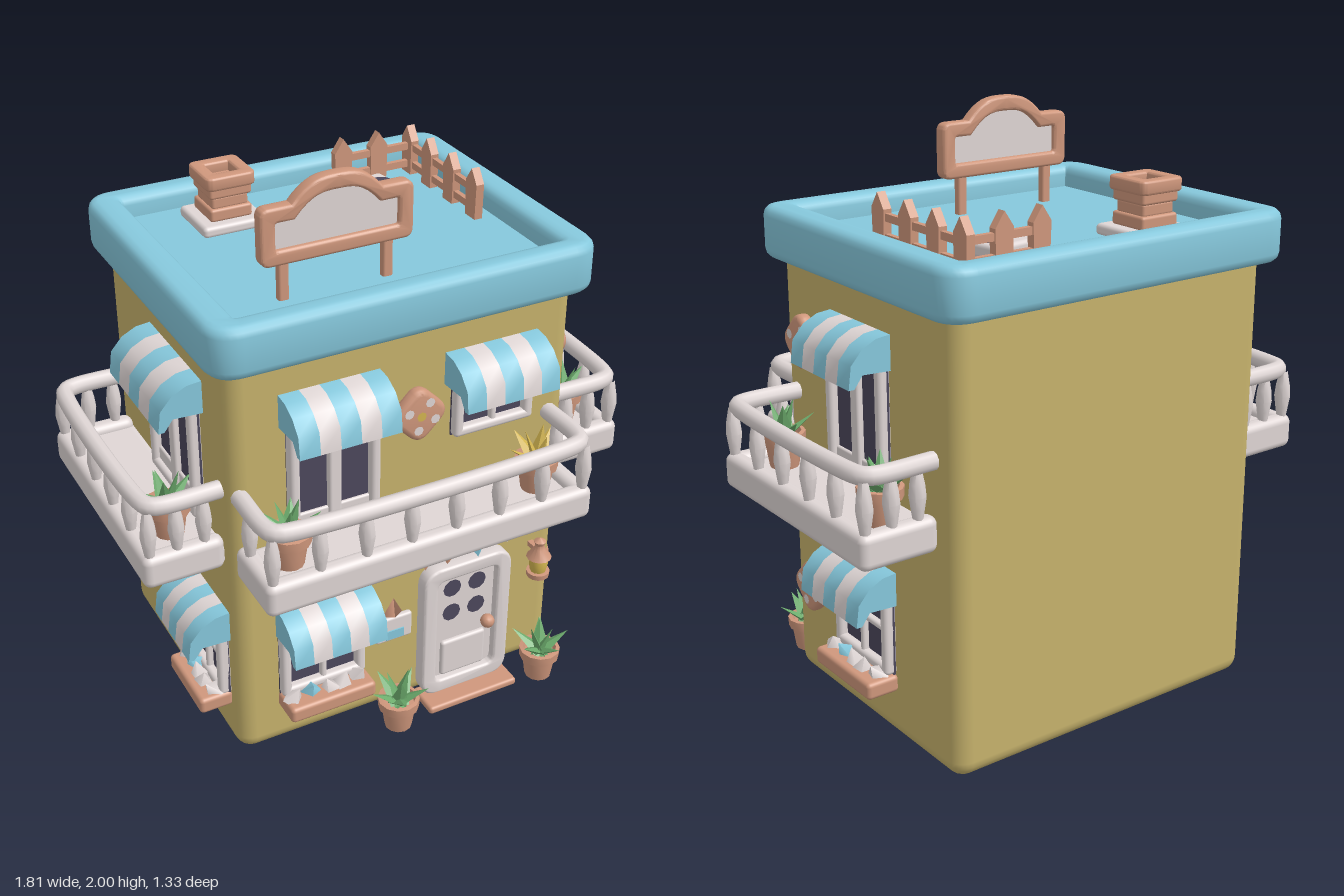
import * as THREE from 'three';
import { toCreasedNormals } from 'three/addons/utils/BufferGeometryUtils.js';
import { RoundedBoxGeometry } from 'three/addons/geometries/RoundedBoxGeometry.js';

const mat = (name, color) => Object.assign(new THREE.MeshStandardMaterial({ color }), { name });
const M = {
  wall: mat('ochre wall', 0xc6b26c), blue: mat('sky blue', 0x86c8dc), white: mat('warm white', 0xdfd6d5),
  clay: mat('terracotta', 0xcf977c), dark: mat('dark glass', 0x4c475c), green: mat('leaf green', 0x6cab6c),
  yellow: mat('lamp yellow', 0xd2b450),
};

function add(parent, name, geo, material, x = 0, y = 0, z = 0) {
  const m = new THREE.Mesh(geo, material);
  m.name = name;
  m.position.set(x, y, z);
  parent.add(m);
  return m;
}
function group(parent, name, x = 0, y = 0, z = 0, ry = 0) {
  const g = new THREE.Group();
  g.name = name;
  g.position.set(x, y, z);
  g.rotation.y = ry;
  parent.add(g);
  return g;
}
const box = (w, h, d) => new THREE.BoxGeometry(w, h, d);
const rbox = (w, h, d, r = 0.015) => new RoundedBoxGeometry(w, h, d, 3, r);
const lathe = (pts, n = 12) => toCreasedNormals(new THREE.LatheGeometry(pts.map(p => new THREE.Vector2(...p)), n), 0.8);
const curve = (pts) => new THREE.CatmullRomCurve3(pts.map(p => new THREE.Vector3(...p)), false, 'centripetal');

function roundRect(w, h, r, S = THREE.Shape) {
  const s = new S(), x = w / 2, y = h / 2;
  s.moveTo(-x + r, -y); s.lineTo(x - r, -y); s.quadraticCurveTo(x, -y, x, -y + r);
  s.lineTo(x, y - r); s.quadraticCurveTo(x, y, x - r, y);
  s.lineTo(-x + r, y); s.quadraticCurveTo(-x, y, -x, y - r);
  s.lineTo(-x, -y + r); s.quadraticCurveTo(-x, -y, -x + r, -y);
  return s;
}
const extrude = (shape, depth, b = 0) => toCreasedNormals(new THREE.ExtrudeGeometry(shape,
  { depth, bevelEnabled: b > 0, bevelSize: b, bevelThickness: b, bevelSegments: 3, curveSegments: 8 }), 0.7);

// Striped awning; y is its lower edge
function awning(parent, x, y, w, n = 5) {
  const g = group(parent, 'awning', x, y, 0), sw = w / n;
  const prof = [[0, 0.15], [0.05, 0.145], [0.1, 0.12], [0.14, 0.075], [0.15, 0], [0.13, 0], [0.1, 0.04], [0, 0.035]];
  const shape = new THREE.Shape(prof.map(p => new THREE.Vector2(...p)));
  for (let i = 0; i < n; i++) {
    const geo = extrude(shape, sw).rotateY(-Math.PI / 2).translate(sw / 2, 0, 0);
    add(g, 'awningStripe', geo, i % 2 ? M.white : M.blue, -w / 2 + sw * (i + 0.5));
  }
}

// Framed glass with mullions; y is the sill height
function glazing(parent, name, x, y, w, h, isDoor) {
  const g = group(parent, name, x, y, 0), t = 0.035;
  add(g, 'glass', box(w, h, 0.008), M.dark, 0, h / 2, 0.006);
  for (const s of [-1, 1]) add(g, 'frameSide', rbox(t, h, 0.05), M.white, s * (w - t) / 2, h / 2, 0.015);
  for (const yy of [t / 2, h - t / 2]) add(g, 'frameBar', rbox(w, t, 0.05), M.white, 0, yy, 0.015);
  add(g, 'mullion', rbox(isDoor ? 0.045 : 0.022, h, 0.04, 0.01), M.white, 0, h / 2, 0.012);
  if (!isDoor) add(g, 'crossBar', rbox(w, 0.022, 0.04, 0.01), M.white, 0, h * 0.5, 0.012);
  else for (const s of [-1, 1]) add(g, 'kickPanel', rbox(w * 0.38, 0.06, 0.02, 0.008), M.white, s * w * 0.23, 0.05, 0.01);
}

function windowBox(parent, x, y, w) {
  const g = group(parent, 'windowBox', x, y, 0.055);
  add(g, 'trough', rbox(w, 0.06, 0.12), M.clay);
  for (let i = 0; i < 5; i++) {
    const c = add(g, 'blossom', new THREE.ConeGeometry(0.04, 0.06, 4), i === 1 ? M.blue : M.white, (i - 2) * w * 0.19, 0.05, 0.01);
    c.rotation.set(0.3, i * 1.3, (i % 2 - 0.5) * 0.7);
  }
}

function plant(parent, x, y, z, leaf = M.green) {
  const g = group(parent, 'pottedPlant', x, y, z);
  add(g, 'pot', lathe([[0, 0], [0.048, 0], [0.06, 0.08], [0.072, 0.085], [0.074, 0.12], [0.06, 0.122], [0.055, 0.1], [0, 0.1]]), M.clay);
  for (let i = 0; i < 8; i++) {
    const outer = i < 5, arm = group(g, 'leafArm', 0, 0.1, 0, i * (outer ? 1.257 : 2.1) + x * 5);
    const geo = new THREE.ConeGeometry(0.042, 0.14, 4).toNonIndexed().scale(1, 1, 0.4).translate(0, 0.06, 0);
    geo.computeVertexNormals();
    add(arm, 'leaf', geo, leaf).rotation.x = outer ? 0.95 : 0.35;
  }
}

// Balcony centred on local x, reaching out by d along local z
function balcony(parent, name, x, w, d, nLong, nShort) {
  const g = group(parent, name, x, 0, 0), e = w / 2 - 0.03, f = d - 0.03, r = 0.05;
  add(g, 'balconyFloor', rbox(w - 0.02, 0.09, d, 0.03), M.white, 0, 0.825, d / 2 - 0.01);
  add(g, 'frontKerb', rbox(w, 0.12, 0.065, 0.028), M.white, 0, 0.84, d - 0.0325);
  for (const s of [-1, 1]) add(g, 'sideKerb', rbox(0.065, 0.12, d, 0.028), M.white, s * (w / 2 - 0.0325), 0.84, d / 2);
  const path = [[-e, 1.07, -0.01], [-e, 1.07, f - r], [-e + 0.015, 1.07, f - 0.015], [-e + r, 1.07, f],
    [e - r, 1.07, f], [e - 0.015, 1.07, f - 0.015], [e, 1.07, f - r], [e, 1.07, -0.01]];
  add(g, 'handrail', new THREE.TubeGeometry(curve(path), 80, 0.03, 10), M.white);
  const geo = lathe([[0.016, 0], [0.022, 0.04], [0.028, 0.08], [0.024, 0.12], [0.014, 0.17]], 8);
  for (let i = 0; i < nLong; i++) add(g, 'baluster', geo, M.white, -e + 2 * e * i / (nLong - 1), 0.89, f);
  for (const s of [-1, 1]) for (let i = 0; i < nShort; i++) add(g, 'baluster', geo, M.white, s * e, 0.89, 0.06 + i * (f - 0.06) / nShort);
}

// Rounded diamond with painted dots
function diamond(parent, x, y) {
  const g = group(parent, 'diamondOrnament', x, y, 0);
  add(g, 'diamondPlate', extrude(roundRect(0.12, 0.12, 0.03), 0.015, 0.018).rotateZ(Math.PI / 4), M.clay, 0, 0, 0.01);
  [[-0.045, 0.02], [0.03, 0.045], [0.05, -0.02], [-0.01, -0.05], [0, 0]].forEach(([a, b], i) =>
    add(g, 'dot', new THREE.CircleGeometry(0.017, 8), i === 4 ? M.yellow : M.white, a, b, 0.0445));
}

function frontDoor(parent) {
  const g = group(parent, 'frontDoor', 0.235, 0, 0);
  const frame = roundRect(0.33, 0.53, 0.06);
  frame.holes.push(roundRect(0.26, 0.46, 0.04, THREE.Path));
  add(g, 'doorFrame', extrude(frame, 0.04, 0.01), M.white, 0, 0.3, 0);
  add(g, 'doorLeaf', box(0.28, 0.5, 0.03), M.white, 0, 0.29, 0.005);
  for (const a of [-0.05, 0.05]) for (const b of [0.355, 0.46]) add(g, 'roundPane', new THREE.CircleGeometry(0.036, 10), M.dark, a, b, 0.0225);
  add(g, 'kickPanel', rbox(0.18, 0.15, 0.03, 0.012), M.white, 0, 0.16, 0.02);
  add(g, 'knob', new THREE.SphereGeometry(0.026, 10, 8), M.clay, 0.092, 0.275, 0.04);
  add(g, 'doorstep', rbox(0.36, 0.03, 0.13, 0.012), M.clay, 0, 0.018, 0.055);
}

function lamp(parent, x, y) {
  const g = group(parent, 'wallLamp', x, y, 0.06);
  add(g, 'lampBase', lathe([[0, 0], [0.04, 0], [0.042, 0.02], [0, 0.025]]), M.clay);
  add(g, 'lampGlass', lathe([[0.028, 0.02], [0.034, 0.05], [0.028, 0.085]]), M.yellow);
  add(g, 'lampCap', lathe([[0, 0.075], [0.045, 0.08], [0.02, 0.115], [0.016, 0.13], [0.022, 0.145], [0, 0.16]]), M.clay);
  add(g, 'lampArm', box(0.02, 0.02, 0.07), M.clay, 0, 0.1, -0.03);
}

function bunting(parent) {
  const g = group(parent, 'bunting', 0, 0, 0.05);
  add(g, 'cord', new THREE.TubeGeometry(curve([[-0.02, 0.79, 0], [0.12, 0.74, 0], [0.25, 0.72, 0], [0.38, 0.74, 0], [0.49, 0.79, 0]]), 24, 0.007, 6), M.white);
  [[0.02, 0.75, M.white], [0.07, 0.69, M.clay], [0.15, 0.685, M.clay], [0.26, 0.675, M.blue], [0.36, 0.7, M.white], [0.43, 0.73, M.white]]
    .forEach(([x, y, m], i) => {
      const f = add(g, 'flag', new THREE.OctahedronGeometry(1).scale(0.055, 0.085, 0.018), m, x, y, 0.005);
      f.rotation.z = (x - 0.22) * 1.5;
      f.rotation.y = i % 2 ? 0.2 : -0.2;
    });
}

function roofSign(parent) {
  const g = group(parent, 'roofSign', -0.155, 0, 0.215);
  const outline = (k, S) => {
    const s = new S(), w = 0.26 - k, lo = 1.74 + k, sh = 1.93 - k, top = 2 - k;
    s.moveTo(-w + 0.02, lo); s.lineTo(w - 0.02, lo); s.quadraticCurveTo(w, lo, w, lo + 0.02);
    s.lineTo(w, sh - 0.02); s.quadraticCurveTo(w, sh, w - 0.02, sh); s.lineTo(0.15, sh);
    s.bezierCurveTo(0.09, top, 0.05, top, 0, top); s.bezierCurveTo(-0.05, top, -0.09, top, -0.15, sh);
    s.lineTo(-w + 0.02, sh); s.quadraticCurveTo(-w, sh, -w, sh - 0.02);
    s.lineTo(-w, lo + 0.02); s.quadraticCurveTo(-w, lo, -w + 0.02, lo);
    return s;
  };
  const frame = outline(0.01, THREE.Shape);
  frame.holes.push(outline(0.04, THREE.Path));
  add(g, 'signFrame', extrude(frame, 0.03, 0.01), M.clay, 0, 0, -0.015);
  add(g, 'signPanel', extrude(outline(0.025, THREE.Shape), 0.014), M.white, 0, 0, -0.007);
  for (const s of [-1, 1]) add(g, 'signPost', rbox(0.035, 0.17, 0.03, 0.008), M.clay, s * 0.18, 1.69, -0.005);
}

function fence(parent) {
  const g = group(parent, 'roofFence');
  const picket = new THREE.Shape([[-0.03, 0], [0.03, 0], [0.034, 0.13], [0, 0.18], [-0.034, 0.13]].map(p => new THREE.Vector2(...p)));
  const geo = new THREE.ExtrudeGeometry(picket, { depth: 0.03, bevelEnabled: false }).translate(0, 0, -0.015);
  for (const x of [0.225, 0.365]) add(g, 'picket', geo, M.clay, x, 1.61, -0.48);
  for (const z of [-0.04, -0.19, -0.34, -0.48]) add(g, 'picket', geo, M.clay, 0.5, 1.61, z).rotation.y = Math.PI / 2;
  for (const y of [1.65, 1.715]) {
    add(g, 'fenceRail', box(0.31, 0.025, 0.018), M.clay, 0.35, y, -0.48);
    add(g, 'fenceRail', box(0.018, 0.025, 0.48), M.clay, 0.5, y, -0.26);
  }
}

function chimney(parent) {
  const g = group(parent, 'chimney', -0.265, 1.61, -0.4);
  add(g, 'chimneyBase', rbox(0.23, 0.04, 0.22), M.white, 0, 0.02, 0);
  [0.15, 0.13, 0.15].forEach((w, i) => add(g, 'brickCourse', rbox(w, 0.045, w, 0.01), M.clay, 0, 0.06 + i * 0.04, 0));
  const cap = roundRect(0.16, 0.16, 0.02);
  cap.holes.push(roundRect(0.1, 0.1, 0.01, THREE.Path));
  add(g, 'chimneyCap', extrude(cap, 0.03, 0.008).rotateX(-Math.PI / 2), M.clay, 0, 0.16, 0);
}

export function createModel() {
  const root = new THREE.Group();
  root.name = 'townHouse';

  // Walls and rimmed flat roof
  add(root, 'walls', rbox(1.24, 1.6, 1.0, 0.06), M.wall, 0, 0.81, -0.095);
  const rim = roundRect(1.29, 1.06, 0.07);
  rim.holes.push(roundRect(1.2, 1.01, 0.05, THREE.Path));
  rim.holes[0] = roundRect(1.19, 1.0, 0.04, THREE.Path);
  add(root, 'roofRim', extrude(rim, 0.11, 0.032).rotateX(-Math.PI / 2), M.blue, 0, 1.55, -0.095);
  add(root, 'roofDeck', box(1.24, 0.08, 1.04), M.blue, 0, 1.575, -0.095);
  roofSign(root);
  fence(root);
  chimney(root);
  const hatch = group(root, 'roofSlab', 0.26, 1.64, -0.335, 0.15);
  add(hatch, 'slab', rbox(0.19, 0.05, 0.15), M.white);
  for (const s of [-1, 1]) add(hatch, 'slabSpot', new THREE.CircleGeometry(0.036, 10).rotateX(-Math.PI / 2), M.dark, s * 0.05, 0.0265, 0);

  // Front wall
  const front = group(root, 'frontFacade', 0, 0, 0.405);
  glazing(front, 'lowerWindow', -0.318, 0.24, 0.315, 0.32);
  awning(front, -0.31, 0.45, 0.34);
  windowBox(front, -0.32, 0.215, 0.32);
  glazing(front, 'balconyDoor', -0.27, 0.88, 0.32, 0.48, true);
  awning(front, -0.275, 1.255, 0.35);
  glazing(front, 'upperWindow', 0.31, 1.09, 0.3, 0.27);
  awning(front, 0.308, 1.25, 0.345);
  diamond(front, 0.03, 1.215);
  balcony(front, 'frontBalcony', -0.02, 1.19, 0.255, 8, 1);
  frontDoor(front);
  lamp(front, 0.515, 0.43);
  bunting(front);
  const plaque = group(front, 'hangingPlaque', -0.045, 0.37, 0.015);
  add(plaque, 'plaqueBoard', rbox(0.14, 0.1, 0.025, 0.01), M.white);
  add(plaque, 'plaquePatch', box(0.07, 0.035, 0.005), M.blue, 0, -0.02, 0.0145);
  add(plaque, 'plaqueHook', new THREE.ConeGeometry(0.045, 0.075, 3).scale(1, 1, 0.3), M.clay, 0, 0.088, 0);
  plant(front, -0.065, 0.005, 0.1);
  plant(front, 0.52, 0.005, 0.1);
  plant(front, -0.48, 0.87, 0.12);
  plant(front, 0.43, 0.87, 0.12, M.yellow);

  // Left wall (+x), local x runs towards the back
  const left = group(root, 'leftFacade', 0.62, 0, 0, Math.PI / 2);
  glazing(left, 'lowerWindow', 0.09, 0.25, 0.32, 0.32);
  awning(left, 0.085, 0.465, 0.35);
  windowBox(left, 0.092, 0.22, 0.335);
  glazing(left, 'balconyDoor', 0.085, 0.88, 0.33, 0.48, true);
  awning(left, 0.085, 1.255, 0.35);
  diamond(left, -0.24, 1.265);
  diamond(left, -0.24, 0.385);
  balcony(left, 'leftBalcony', 0.08, 0.87, 0.275, 6, 2);
  plant(left, 0.39, 0.87, 0.13);
  plant(left, -0.2, 0.87, 0.13);

  // Right wall (-x), local x runs towards the front
  const right = group(root, 'rightFacade', -0.62, 0, 0, -Math.PI / 2);
  glazing(right, 'lowerWindow', 0.2, 0.24, 0.27, 0.32);
  awning(right, 0.2, 0.445, 0.3);
  windowBox(right, 0.2, 0.22, 0.28);
  glazing(right, 'balconyDoor', 0, 0.88, 0.38, 0.48, true);
  awning(right, 0.005, 1.255, 0.43);
  balcony(right, 'rightBalcony', -0.08, 0.87, 0.275, 6, 2);
  plant(right, 0.2, 0.87, 0.13);
  return root;
}
